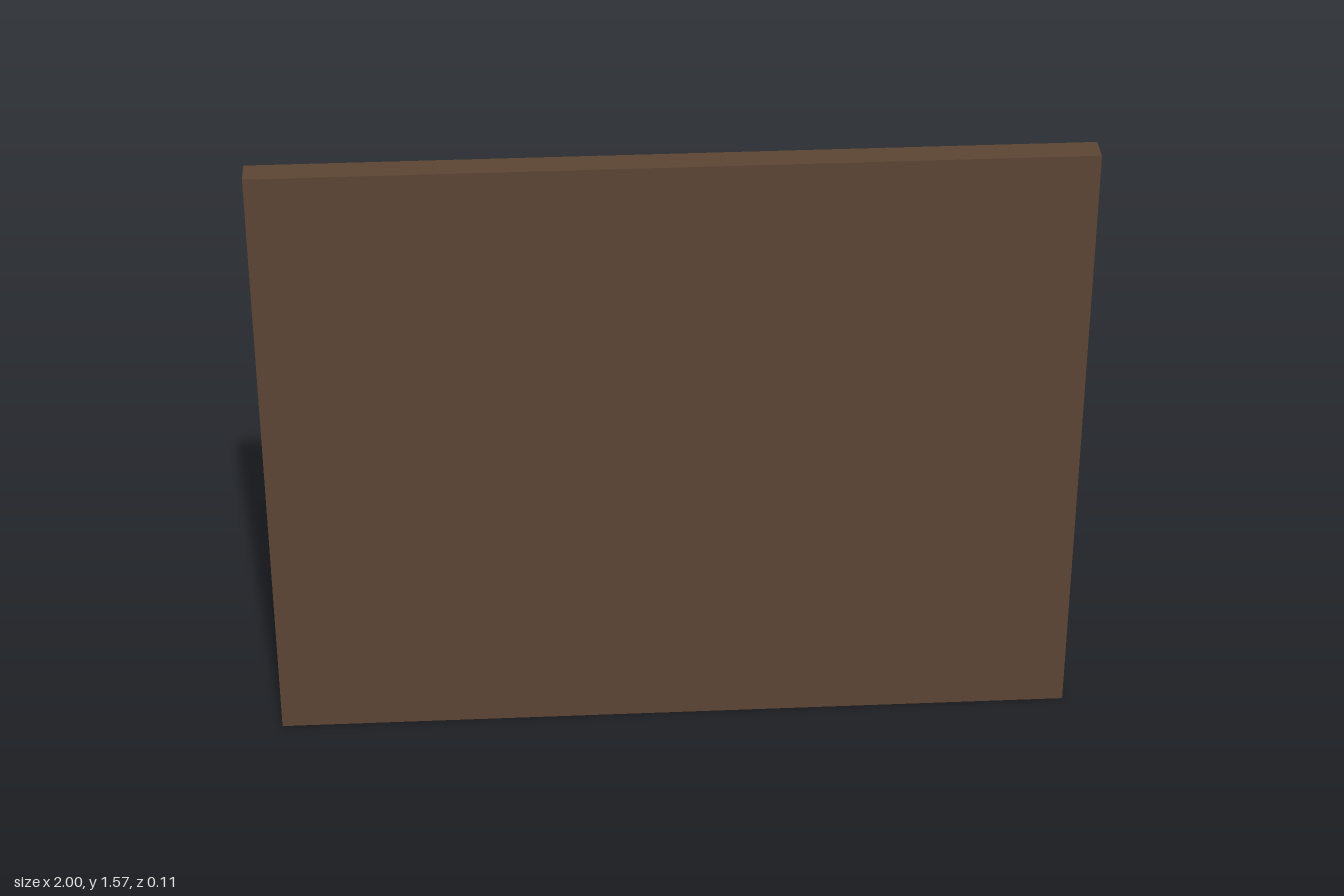
import * as THREE from 'three';

const material = (name, color) => {
  const m = new THREE.MeshStandardMaterial({ color });
  m.name = name;
  return m;
};

export function createModel() {
  const group = new THREE.Group();
  const wood = material('dark wood', 0x5c4433);
  const paper = material('pale mount', 0xd8dbde);
  const night = material('night blue', 0x25345e);
  const tan = material('tan wall', 0x94704a);
  const gold = material('dull gold', 0x86692a);

  const add = (name, geometry, mat) => {
    const mesh = new THREE.Mesh(geometry, mat);
    mesh.name = name;
    group.add(mesh);
    return mesh;
  };
  // Slab given by its width, y range and z range
  const slab = (name, w, y0, y1, z0, z1, mat) =>
    add(name, new THREE.BoxGeometry(w, y1 - y0, z1 - z0), mat)
      .position.set(0, (y0 + y1) / 2, (z0 + z1) / 2);

  // Backing board with the layered picture on its rear face
  slab('board', 2, 0, 1.57, -0.015, 0.055, wood);
  slab('mount', 1.78, 0.11, 1.46, -0.029, -0.015, paper);
  slab('sky', 1.78, 0.11, 1.46, -0.035, -0.029, night);

  // Wall with a slanted top, taller towards -x
  const wall = new THREE.Shape([
    new THREE.Vector2(-0.535, 0.25), new THREE.Vector2(0.535, 0.25),
    new THREE.Vector2(0.535, 0.785), new THREE.Vector2(-0.535, 1.0),
  ]);
  add('wall', new THREE.ExtrudeGeometry(wall, { depth: 0.01, bevelEnabled: false }), tan)
    .position.z = -0.045;

  // Rounded window, centred on its own origin
  const w = 0.0875, h = 0.0725, r = 0.025;
  const pane = new THREE.Shape();
  pane.moveTo(-w + r, -h);
  pane.absarc(w - r, -h + r, r, -Math.PI / 2, 0);
  pane.absarc(w - r, h - r, r, 0, Math.PI / 2);
  pane.absarc(-w + r, h - r, r, Math.PI / 2, Math.PI);
  pane.absarc(-w + r, -h + r, r, Math.PI, Math.PI * 1.5);
  const paneGeometry = new THREE.ExtrudeGeometry(pane, {
    depth: 0.01, bevelEnabled: false, curveSegments: 6,
  });
  for (const x of [-0.32, 0, 0.32]) {
    add('window', paneGeometry, gold).position.set(x, 0.503, -0.055);
  }
  return group;
}
